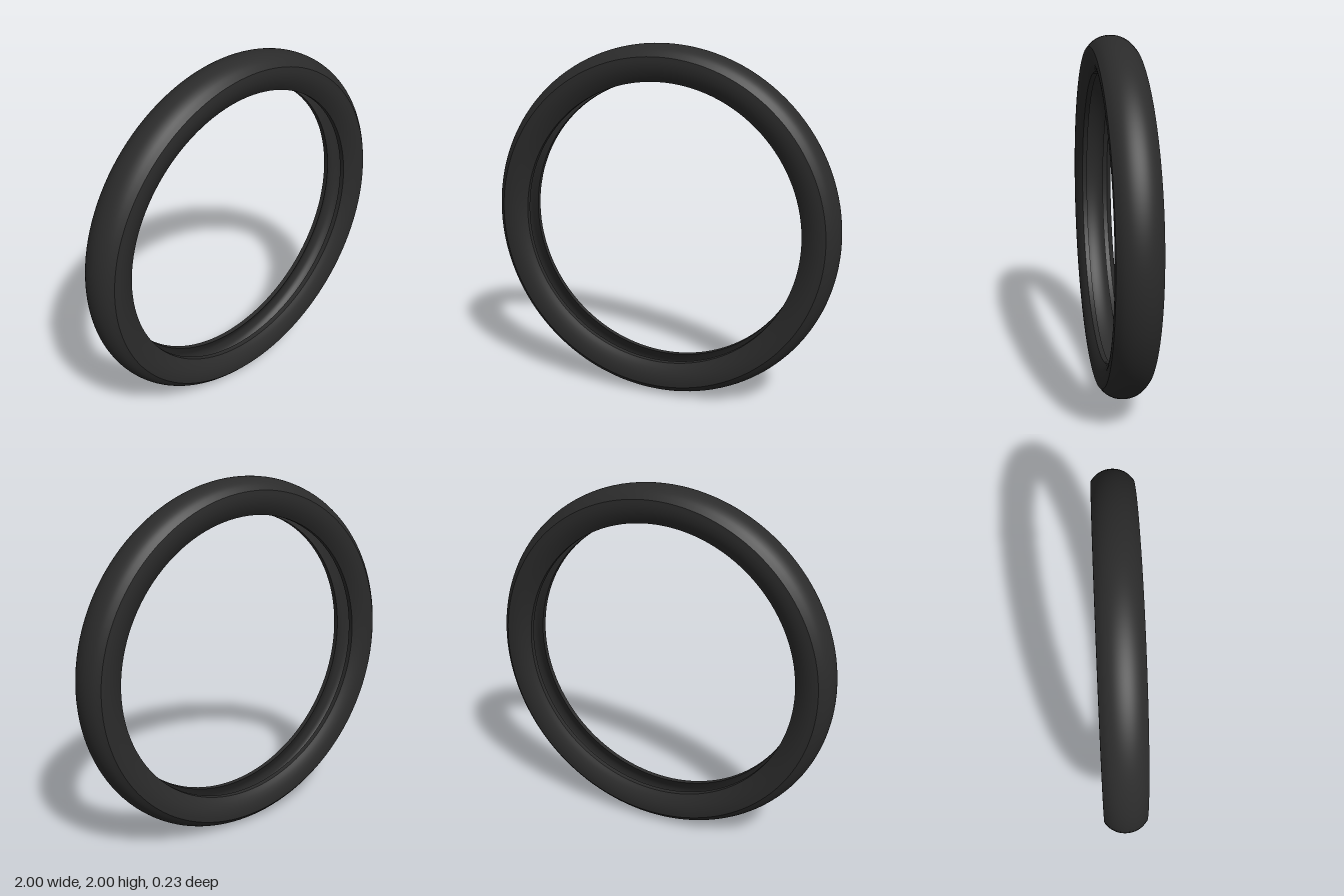
import * as THREE from 'three';

const SEGMENTS = 128;

// Smooth curve through [radius, offset] points
function smooth(points, divisions) {
  return new THREE.SplineCurve(points.map(([r, o]) => new THREE.Vector2(r, o))).getPoints(divisions);
}

// Same section on the other side, reversed so the faces keep pointing out
function mirrored(section) {
  return section.map((p) => new THREE.Vector2(p.x, -p.y)).reverse();
}

export function createModel() {
  const rubber = new THREE.MeshStandardMaterial({ color: 0x2b2b2b });
  rubber.name = 'black rubber';

  const tyre = new THREE.Group();
  tyre.name = 'tyre';

  // Each section is revolved around the wheel axis (z)
  function addRing(name, section) {
    const geometry = new THREE.LatheGeometry(section, SEGMENTS);
    geometry.rotateX(Math.PI / 2);
    const mesh = new THREE.Mesh(geometry, rubber);
    mesh.name = name;
    tyre.add(mesh);
  }

  // Rounded running surface between the two shoulders
  addRing('tread', smooth([
    [0.94, -0.115], [0.972, -0.085], [0.993, -0.045], [1, 0],
    [0.993, 0.045], [0.972, 0.085], [0.94, 0.115],
  ], 24));

  // Bulging sidewall, from shoulder to bead
  const sidewall = smooth([
    [0.94, 0.115], [0.905, 0.116], [0.87, 0.11], [0.835, 0.096], [0.805, 0.078],
  ], 14);
  addRing('frontSidewall', sidewall);
  addRing('backSidewall', mirrored(sidewall));

  // Flat bead lip around the opening
  const bead = [new THREE.Vector2(0.805, 0.078), new THREE.Vector2(0.805, 0.05)];
  addRing('frontBead', bead);
  addRing('backBead', mirrored(bead));

  // Hollow inside of the casing
  addRing('innerLining', smooth([
    [0.805, 0.05], [0.835, 0.068], [0.88, 0.088], [0.93, 0.085], [0.962, 0.05], [0.972, 0],
    [0.962, -0.05], [0.93, -0.085], [0.88, -0.088], [0.835, -0.068], [0.805, -0.05],
  ], 40));

  tyre.position.y = 1;
  const model = new THREE.Group();
  model.name = 'model';
  model.add(tyre);
  return model;
}
